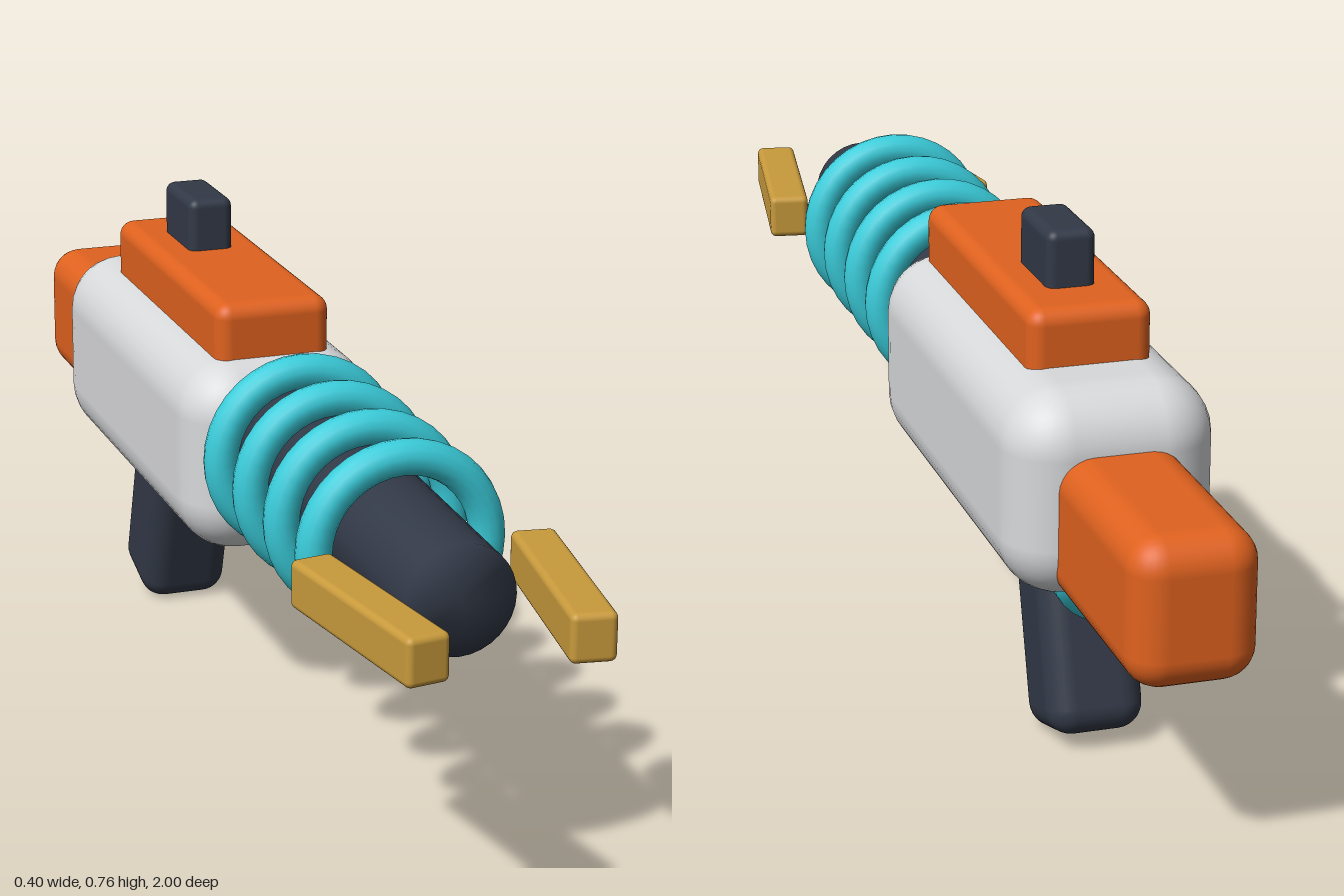
import * as THREE from 'three';
import { RoundedBoxGeometry } from 'three/addons/geometries/RoundedBoxGeometry.js';

const material = (name, color) => {
  const m = new THREE.MeshStandardMaterial({ color });
  m.name = name;
  return m;
};

export function createModel() {
  const shell = material('light grey', 0xd8d9db);
  const orange = material('orange', 0xe0621f);
  const dark = material('dark slate', 0x323947);
  const cyan = material('cyan', 0x3accda);
  const gold = material('gold', 0xc89a3c);

  const group = new THREE.Group();
  group.name = 'toyBlaster';
  const add = (name, geometry, mat, x, y, z) => {
    const mesh = new THREE.Mesh(geometry, mat);
    mesh.name = name;
    mesh.position.set(x, y, z);
    group.add(mesh);
    return mesh;
  };
  const box = (w, h, d, r, seg = 4) => new RoundedBoxGeometry(w, h, d, seg, r);
  // Softly shaded capped rod along z, from zBack to zFront
  const rod = (rBack, rFront, zBack, zFront, sides) => new THREE.LatheGeometry([
    new THREE.Vector2(0, zBack), new THREE.Vector2(rBack, zBack),
    new THREE.Vector2(rFront, zFront), new THREE.Vector2(0, zFront),
  ], sides).rotateX(Math.PI / 2);

  // Body, stock and top rail with sight
  add('body', box(0.314, 0.315, 0.775, 0.09), shell, 0, 0.4375, -0.2875);
  add('stock', box(0.186, 0.22, 0.42, 0.05), orange, 0, 0.4, -0.79);
  add('topRail', box(0.186, 0.13, 0.56, 0.024), orange, 0, 0.615, -0.25);
  add('sight', box(0.074, 0.13, 0.145, 0.015), dark, 0, 0.7, -0.3625);

  // Tapered barrel with coil rings
  const axisY = 0.475;
  add('barrel', rod(0.1, 0.083, 0, 0.81, 32), dark, 0, axisY, 0);
  [0.16, 0.3, 0.442, 0.582].forEach((z, i) =>
    add(`coilRing${i + 1}`, new THREE.TorusGeometry(0.132, 0.027, 14, 36), cyan, 0, axisY, z));

  // Prongs converging towards the muzzle
  for (const side of [-1, 1]) {
    const prong = add(side > 0 ? 'leftProng' : 'rightProng',
      box(0.066, 0.072, 0.332, 0.01, 3), gold, side * 0.142, axisY - 0.001, 0.83);
    prong.rotation.y = -side * 0.15;
  }

  // Underside housing, trigger and slanted grip
  add('triggerHousing', rod(0.087, 0.087, -0.62, -0.25, 28), cyan, 0, 0.32, 0);
  add('trigger', new THREE.CylinderGeometry(0.008, 0.018, 0.06, 12), dark, 0, 0.28, -0.259);
  const grip = add('grip', box(0.148, 0.36, 0.155, 0.04), dark, 0, 0.192, -0.473);
  grip.rotation.x = 0.3;

  return group;
}
